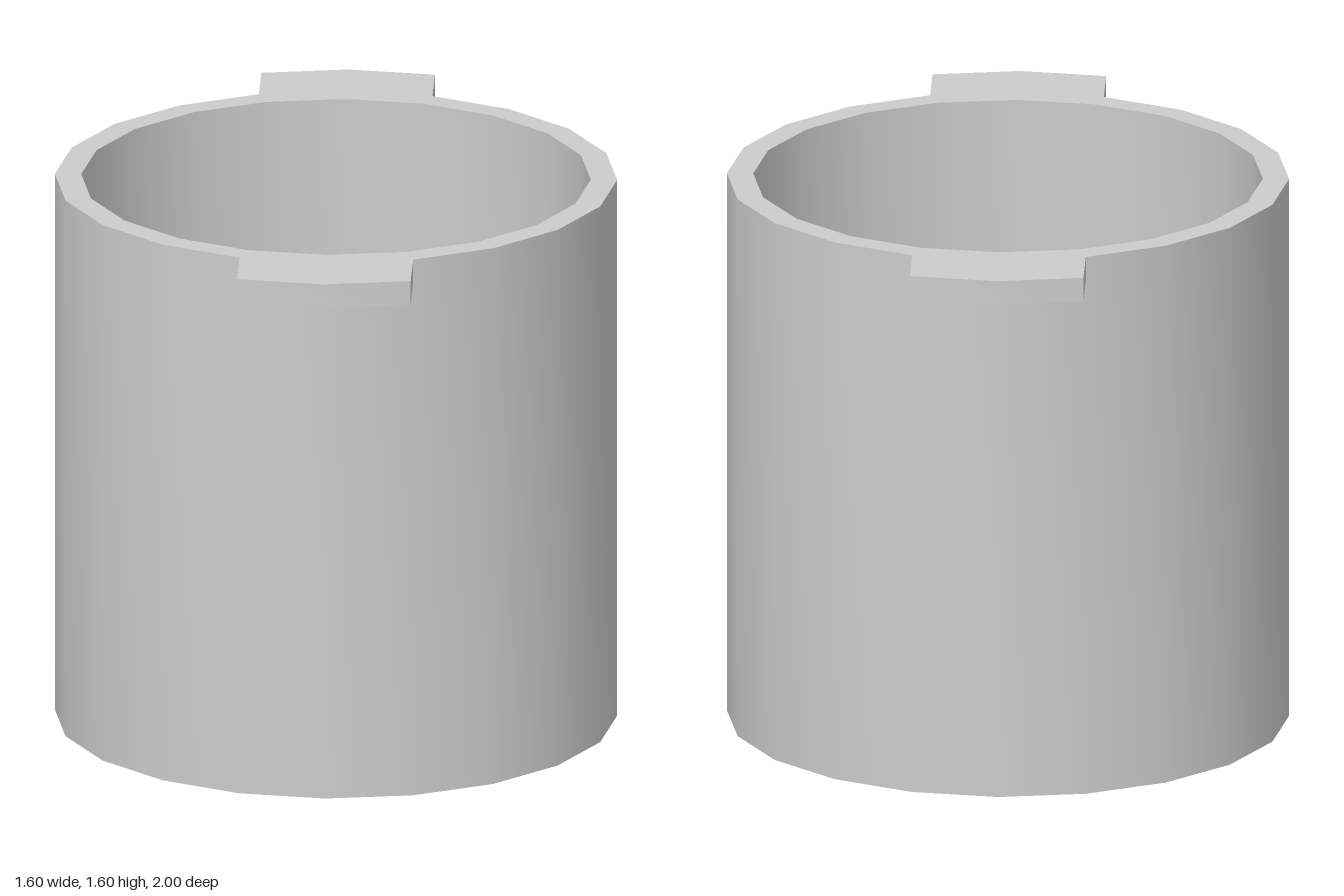
import * as THREE from 'three';
import { toCreasedNormals } from 'three/addons/utils/BufferGeometryUtils.js';

const SIDES = 20;
const OUTER = 0.8, INNER = 0.725, HEIGHT = 1.6;
const FLOOR = 0.07;
const TAB_RADIUS = 1.0, TAB_WIDTH = 0.247, TAB_THICKNESS = 0.07;

export function createModel() {
  const group = new THREE.Group();
  const material = new THREE.MeshStandardMaterial({ color: 0xcccccc });

  // Hollow cup: underside, outer wall, rim, inner wall, floor
  const profile = [
    [0, 0], [OUTER, 0], [OUTER, HEIGHT], [INNER, HEIGHT], [INNER, FLOOR], [0, FLOOR],
  ].map(([r, y]) => new THREE.Vector2(r, y));
  const cup = new THREE.Mesh(
    toCreasedNormals(new THREE.LatheGeometry(profile, SIDES), Math.PI / 6), material);
  cup.name = 'cup';
  group.add(cup);

  // Rim tab: follows two facets of the wall, with a shallow point outside
  const wallZ = OUTER * Math.cos(2 * Math.PI / SIDES);
  const outline = new THREE.Shape([
    [0, OUTER], [TAB_WIDTH, wallZ], [TAB_WIDTH, 0.96],
    [0, TAB_RADIUS], [-TAB_WIDTH, 0.96], [-TAB_WIDTH, wallZ],
  ].map(([x, z]) => new THREE.Vector2(x, z)));
  const extruded = new THREE.ExtrudeGeometry(outline, { depth: TAB_THICKNESS, bevelEnabled: false });
  extruded.rotateX(Math.PI / 2).translate(0, HEIGHT, 0);
  const tabGeometry = toCreasedNormals(extruded, Math.PI / 6);

  // One tab at the front, one at the back
  ['frontTab', 'backTab'].forEach((name, i) => {
    const tab = new THREE.Mesh(tabGeometry, material);
    tab.name = name;
    tab.rotation.y = i * Math.PI;
    group.add(tab);
  });

  return group;
}
